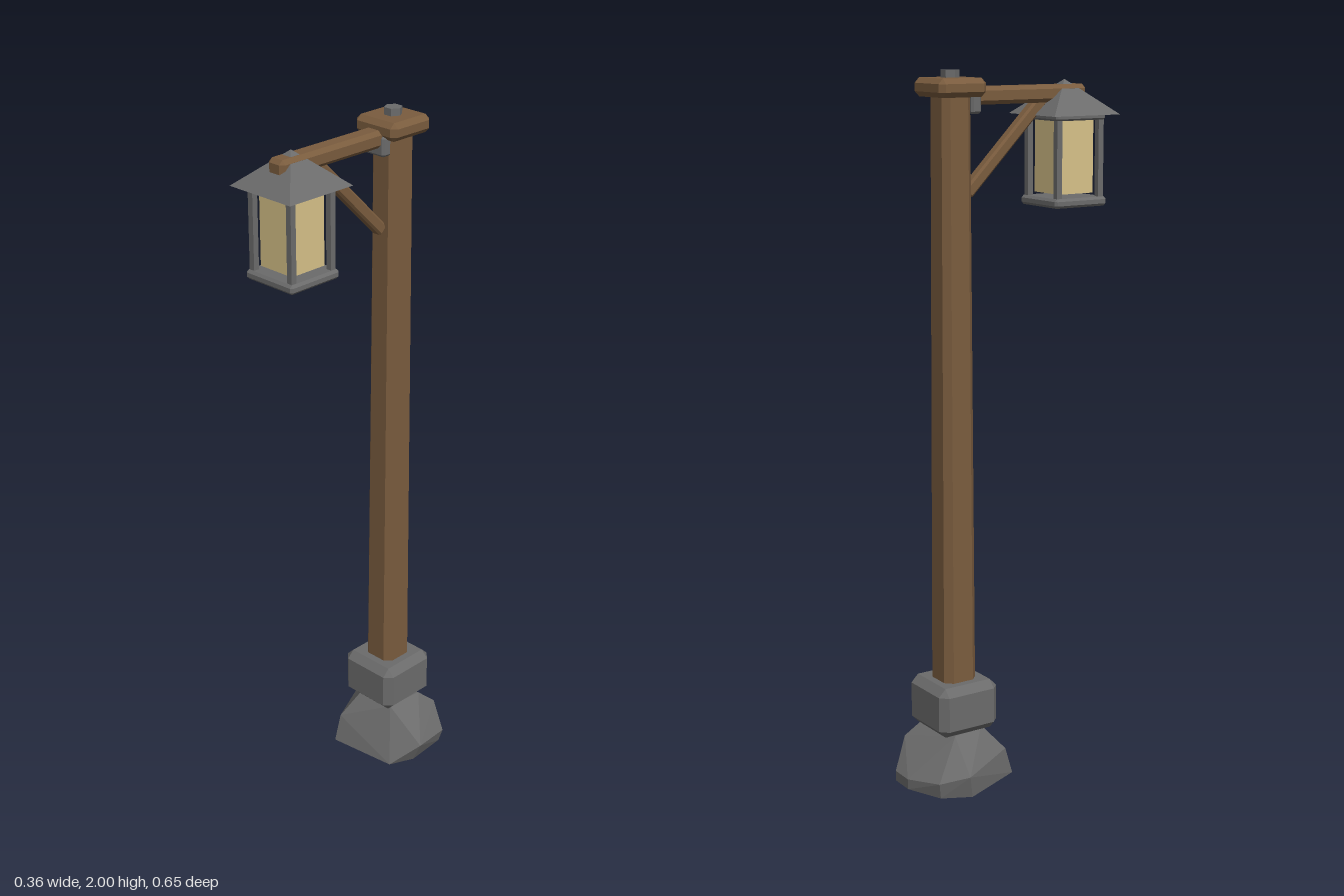
import * as THREE from 'three';
import { ConvexGeometry } from 'three/addons/geometries/ConvexGeometry.js';

const mat = (name, color) => Object.assign(new THREE.MeshStandardMaterial({ color }), { name });

// Box with every edge bevelled by c; the top may be narrower than the bottom
function bevelBox(w, h, d, c, taper = 1) {
  const points = [];
  for (const sx of [-1, 1]) for (const sy of [-1, 1]) for (const sz of [-1, 1]) {
    const k = sy > 0 ? taper : 1;
    const x = w / 2, y = h / 2, z = d / 2;
    for (const [a, b, e] of [[0, c, c], [c, 0, c], [c, c, 0]]) {
      points.push(new THREE.Vector3(sx * (x - a) * k, sy * (y - b), sz * (z - e) * k));
    }
  }
  return new ConvexGeometry(points);
}

export function createModel() {
  const wood = mat('wood', 0x7a5c3e);
  const stone = mat('grey stone and iron', 0x6b6b6b);
  const glass = mat('lamp glass', 0xd6c188);

  const model = new THREE.Group();
  model.name = 'lampPost';
  const add = (parent, name, geometry, material, x, y, z) => {
    const mesh = new THREE.Mesh(geometry, material);
    mesh.name = name;
    mesh.position.set(x, y, z);
    parent.add(mesh);
    return mesh;
  };
  const cx = -0.01, postZ = -0.16, lampZ = 0.212;

  // Boulder foot
  const rock = [
    [-0.17, 0, -0.2], [-0.09, 0, -0.012], [0.118, 0, -0.038], [0.15, 0, -0.11],
    [0.14, 0, -0.235], [0.045, 0, -0.322], [-0.025, 0, -0.324], [-0.13, 0, -0.28],
    [-0.18, 0.065, -0.213], [0.18, 0.065, -0.108], [-0.09, 0.08, -0.036], [0.09, 0.11, -0.265],
    [-0.135, 0.045, -0.287], [0.045, 0.03, -0.323], [-0.025, 0.03, -0.325], [0.15, 0.04, -0.242],
    [-0.08, 0.15, -0.2], [-0.06, 0.155, -0.1], [0.06, 0.155, -0.1], [0.07, 0.155, -0.215],
  ].map(p => new THREE.Vector3(...p));
  add(model, 'boulder', new ConvexGeometry(rock), stone, 0, 0, 0);

  // Post with its stone collar, cap and bolt
  add(model, 'collar', bevelBox(0.192, 0.145, 0.192, 0.022), stone, cx, 0.228, postZ);
  add(model, 'post', bevelBox(0.104, 1.7, 0.104, 0.02, 0.86), wood, cx, 1.1, postZ);
  add(model, 'cap', bevelBox(0.148, 0.05, 0.148, 0.014), wood, cx, 1.955, postZ);
  const bolt = new THREE.CylinderGeometry(0.025, 0.025, 0.03, 6).toNonIndexed();
  bolt.rotateY(Math.PI / 6);
  bolt.computeVertexNormals();
  add(model, 'bolt', bolt, stone, cx, 1.985, postZ);

  // Arm, bracket and diagonal brace
  add(model, 'arm', bevelBox(0.058, 0.048, 0.41, 0.011), wood, cx, 1.931, 0.065);
  add(model, 'bracket', bevelBox(0.076, 0.055, 0.032, 0.006), stone, cx, 1.912, -0.1);
  const brace = add(model, 'brace', bevelBox(0.034, 0.034, 0.36, 0.006), wood, cx, 1.797, 0.013);
  brace.rotation.x = -Math.PI / 4;

  // Lantern
  const lantern = new THREE.Group();
  lantern.name = 'lantern';
  lantern.position.set(cx, 0, lampZ);
  model.add(lantern);

  const roof = new THREE.ConeGeometry(0.1105 * Math.SQRT2, 0.095, 4).toNonIndexed();
  roof.rotateY(Math.PI / 4);
  roof.computeVertexNormals();
  add(lantern, 'roof', roof, stone, 0, 1.921, 0);
  add(lantern, 'topFrame', bevelBox(0.166, 0.018, 0.166, 0.005), stone, 0, 1.868, 0);
  add(lantern, 'baseFrame', bevelBox(0.174, 0.026, 0.174, 0.007), stone, 0, 1.635, 0);
  add(lantern, 'glass', new THREE.BoxGeometry(0.116, 0.205, 0.116), glass, 0, 1.76, 0);
  for (const sx of [-1, 1]) for (const sz of [-1, 1]) {
    add(lantern, 'cornerBar', new THREE.BoxGeometry(0.017, 0.222, 0.017), stone, sx * 0.07, 1.753, sz * 0.07);
  }
  return model;
}
